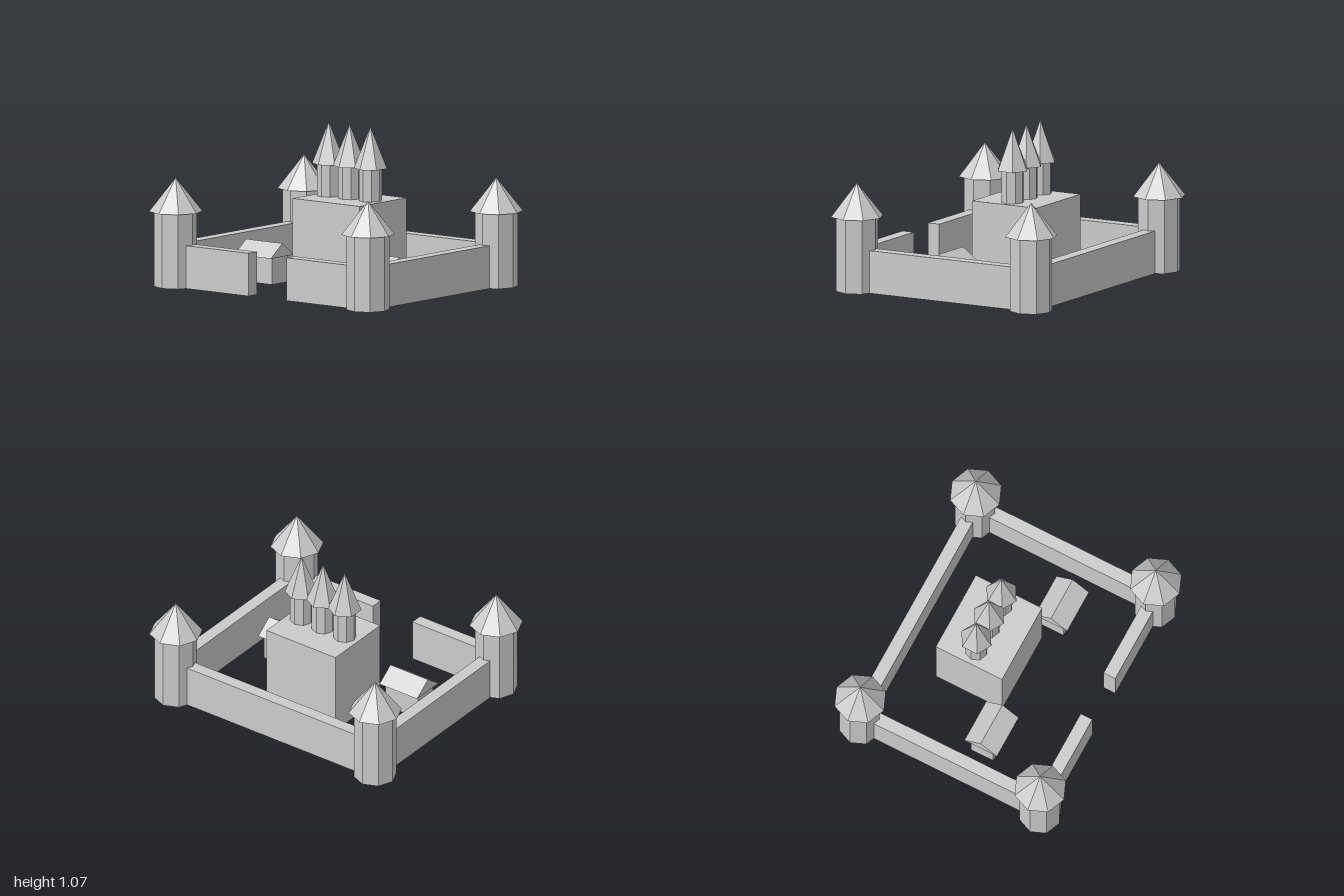
import * as THREE from 'three';

const TX = 0.822, TZ = 0.675; // corner tower positions
const WALL_H = 0.288, WALL_T = 0.087;

export function createModel() {
  const castle = new THREE.Group();
  castle.name = 'castle';
  const material = new THREE.MeshStandardMaterial({ color: 0xcccccc, flatShading: true });

  const add = (parent, name, geometry, x, y, z) => {
    const mesh = new THREE.Mesh(geometry, material);
    mesh.name = name;
    mesh.position.set(x, y, z);
    parent.add(mesh);
    return mesh;
  };
  // Box standing on y = y0
  const block = (parent, name, w, h, d, x, y0, z) =>
    add(parent, name, new THREE.BoxGeometry(w, h, d), x, y0 + h / 2, z);

  // Eight-sided shaft with a pointed roof
  const tower = (name, x, y0, z, radius, height, roofRadius, roofHeight, roofSides) => {
    const group = new THREE.Group();
    group.name = name;
    group.position.set(x, y0, z);
    add(group, 'shaft', new THREE.CylinderGeometry(radius, radius, height, 8), 0, height / 2, 0);
    add(group, 'roof', new THREE.ConeGeometry(roofRadius, roofHeight, roofSides), 0, height + roofHeight / 2, 0);
    castle.add(group);
  };

  // Keep with three turrets
  block(castle, 'keep', 0.57, 0.573, 0.497, 0, 0, -0.143);
  for (const x of [-0.178, 0, 0.178]) {
    tower('keepTurret', x, 0.573, -0.143, 0.077, 0.217, 0.112, 0.28, 6);
  }

  // Gabled roof prism, ridge along x
  const gable = new THREE.Shape([
    new THREE.Vector2(-0.122, 0), new THREE.Vector2(0.122, 0), new THREE.Vector2(0, 0.09),
  ]);
  const gableRoof = new THREE.ExtrudeGeometry(gable, { depth: 0.31, bevelEnabled: false });
  gableRoof.translate(0, 0, -0.155).rotateY(Math.PI / 2);

  for (const side of [-1, 1]) {
    // Corner towers
    for (const end of [-1, 1]) {
      tower('cornerTower', side * TX, 0, end * TZ, 0.143, 0.503, 0.178, 0.225, 8);
    }

    // Side walls, and front walls leaving the gate gap
    block(castle, 'sideWall', WALL_T, WALL_H, TZ * 2, side * TX, 0, 0);
    const length = TX - 0.163;
    block(castle, 'frontWall', length, WALL_H, WALL_T, side * (0.163 + length / 2), 0, TZ);

    // Courtyard houses
    const house = new THREE.Group();
    house.name = 'house';
    house.position.set(side * 0.5, 0, 0.14);
    block(house, 'houseBody', 0.27, 0.18, 0.168, 0, 0, 0);
    add(house, 'houseRoof', gableRoof, 0, 0.18, 0);
    castle.add(house);
  }
  block(castle, 'backWall', TX * 2, WALL_H, WALL_T, 0, 0, -TZ);

  return castle;
}
